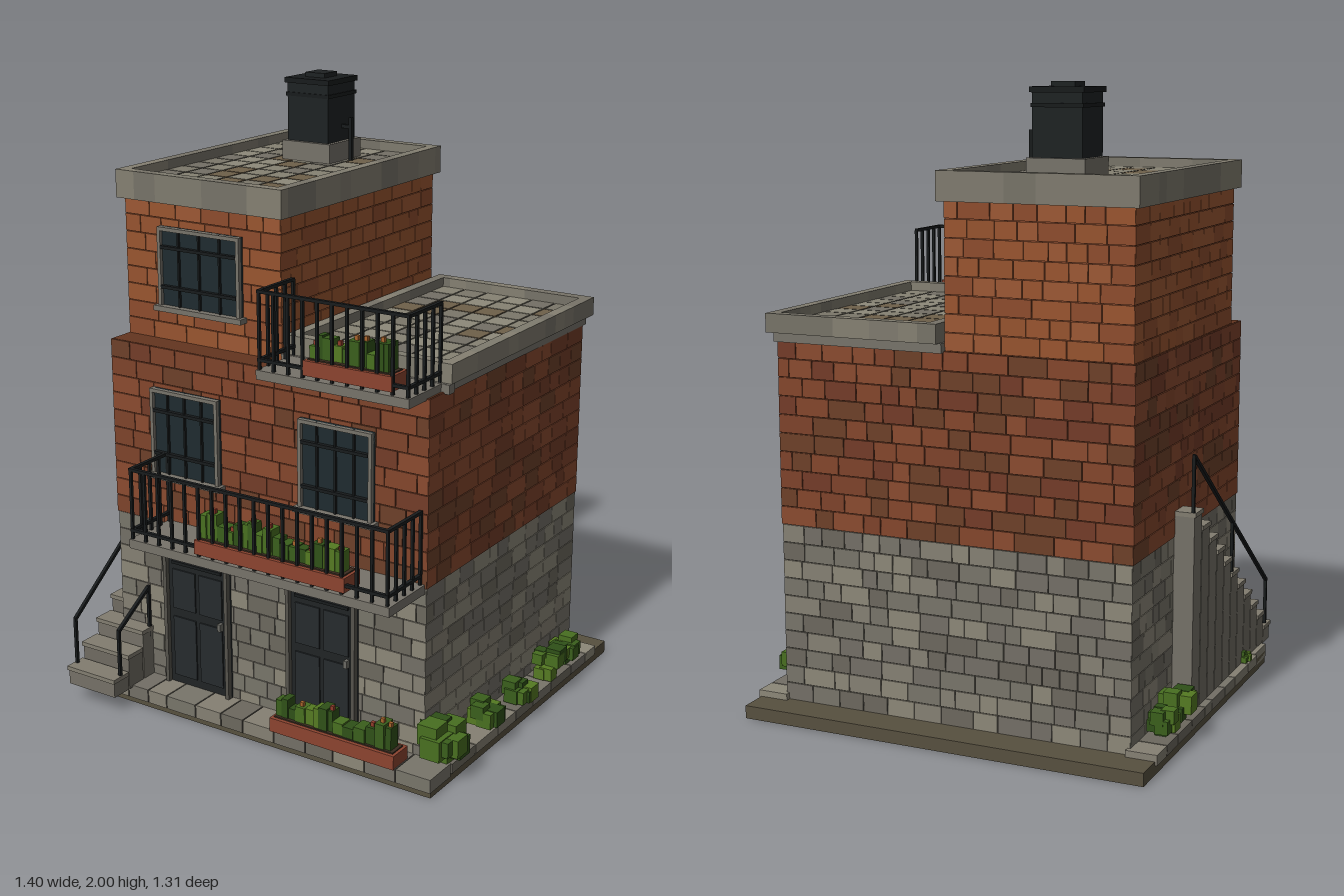
import * as THREE from 'three';
import { mergeGeometries } from 'three/addons/utils/BufferGeometryUtils.js';

const STONE = [0x78756a, 0x858073, 0x6c685e, 0x8c8778, 0x736f66];
const BRICK = [0x7e432b, 0x8a4b30, 0x733c28, 0x84462c, 0x6d4029];
const LIGHT_BRICK = [0x96532f, 0x9c5834, 0x8d4c2d, 0x995530];
const TILES = [0x868273, 0x7b776a, 0x8e8a7a, 0x747066, 0x868273, 0x6f604a];
const LEAVES = [0x3a5f1c, 0x2f5018, 0x486f20, 0x557a22];
const IRON = 0x181b1c, SLAB = 0x77736a, TERRACOTTA = 0x8c4430;

let seed = 7;
const rand = () => (seed = (seed * 16807) % 2147483647) / 2147483647;

const materials = new Map();
function mat(color) {
  if (!materials.has(color)) materials.set(color, new THREE.MeshStandardMaterial({ color }));
  return materials.get(color);
}

// Box given by its limits on each axis
function boxGeo([x0, x1, y0, y1, z0, z1]) {
  return new THREE.BoxGeometry(x1 - x0, y1 - y0, z1 - z0)
    .translate((x0 + x1) / 2, (y0 + y1) / 2, (z0 + z1) / 2);
}

function addBox(parent, name, color, ...limits) {
  const mesh = new THREE.Mesh(boxGeo(limits), mat(color));
  mesh.name = name;
  parent.add(mesh);
}

function group(parent, name) {
  const g = new THREE.Group();
  g.name = name;
  parent.add(g);
  return g;
}

// Many boxes, shared out over a palette and merged per shade
function mosaic(parent, name, palette, boxes) {
  const bins = palette.map(() => []);
  for (const b of boxes) bins[Math.floor(rand() * palette.length)].push(boxGeo(b));
  bins.forEach((bin, i) => {
    if (!bin.length) return;
    const mesh = new THREE.Mesh(mergeGeometries(bin), mat(palette[i]));
    mesh.name = name;
    parent.add(mesh);
  });
}

// Uneven pieces along a line, as [start, end] pairs
function pieces(a, b, len) {
  const out = [];
  for (let u = a; u < b - 1e-6;) {
    let e = u + len * (0.6 + 0.8 * rand());
    if (b - e < len * 0.4) e = b;
    out.push([u, e]);
    u = e;
  }
  return out;
}

// One storey: mortar core faced with courses on all four sides
function storey(parent, name, palette, mortar, [x0, x1, y0, y1, z0, z1], rows, len) {
  const g = group(parent, name), t = 0.004, k = 0.0012, h = (y1 - y0) / rows, boxes = [];
  addBox(g, 'mortarCore', mortar, x0 + t, x1 - t, y0, y1, z0 + t, z1 - t);
  for (let r = 0; r < rows; r++) {
    const a = y0 + r * h + k, b = y0 + (r + 1) * h - k;
    for (const z of [z0, z1 - t])
      for (const [u, v] of pieces(x0, x1, len)) boxes.push([u + k, v - k, a, b, z, z + t]);
    for (const x of [x0, x1 - t])
      for (const [u, v] of pieces(z0, z1, len)) boxes.push([x, x + t, a, b, u + k, v - k]);
  }
  mosaic(g, 'blocks', palette, boxes);
}

// Flat tiled roof inside a block parapet
function roof(parent, name, [x0, x1, y0, y1, z0, z1], floor, cols, rows) {
  const g = group(parent, name), w = 0.036, k = 0.003, boxes = [], tiles = [];
  addBox(g, 'roofBed', 0x4f4b43, x0 + w, x1 - w, y0, floor - 0.006, z0 + w, z1 - w);
  for (const z of [z0, z1 - w])
    for (const [u, v] of pieces(x0, x1, 0.1)) boxes.push([u, v, y0, y1, z, z + w]);
  for (const x of [x0, x1 - w])
    for (const [u, v] of pieces(z0 + w, z1 - w, 0.1)) boxes.push([x, x + w, y0, y1, u, v]);
  mosaic(g, 'parapet', [0x7f7b6e, 0x777368, 0x858072], boxes);
  const dx = (x1 - x0 - 2 * w) / cols, dz = (z1 - z0 - 2 * w) / rows;
  for (let i = 0; i < cols; i++) for (let j = 0; j < rows; j++) {
    const x = x0 + w + i * dx, z = z0 + w + j * dz;
    tiles.push([x + k, x + dx - k, floor - 0.012, floor, z + k, z + dz - k]);
  }
  mosaic(g, 'roofTiles', TILES, tiles);
}

function windowUnit(parent, x0, x1, y0, y1, z) {
  const g = group(parent, 'window'), f = 0.012;
  addBox(g, 'pane', 0x1f2b2f, x0, x1, y0, y1, z - 0.01, z + 0.01);
  for (const x of [x0, x1 - f]) addBox(g, 'frameSide', SLAB, x, x + f, y0, y1, z, z + 0.022);
  addBox(g, 'frameTop', SLAB, x0, x1, y1 - f, y1, z, z + 0.022);
  addBox(g, 'sill', SLAB, x0 - 0.012, x1 + 0.012, y0 - 0.014, y0 + 0.003, z, z + 0.034);
  for (let i = 1; i < 4; i++) {
    const x = x0 + (x1 - x0) * i / 4, y = y0 + (y1 - y0) * i / 4;
    addBox(g, 'upright', IRON, x - 0.003, x + 0.003, y0, y1, z, z + 0.018);
    if (i !== 2) addBox(g, 'crossbar', IRON, x0 + f, x1 - f, y - 0.005, y + 0.005, z, z + 0.024);
  }
}

function door(parent, x0, x1, y0, y1, z) {
  const g = group(parent, 'door'), f = 0.013, m = (x0 + x1) / 2;
  addBox(g, 'leaf', 0x202425, x0, x1, y0, y1, z - 0.01, z + 0.008);
  for (const x of [x0, x1 - f]) addBox(g, 'doorFrameSide', 0x55534c, x, x + f, y0, y1, z, z + 0.024);
  addBox(g, 'doorFrameTop', 0x55534c, x0, x1, y1 - f, y1, z, z + 0.024);
  for (const [a, b] of [[y0 + 0.03, y0 + 0.24], [y0 + 0.27, y1 - 0.11]])
    for (const [u, v] of [[x0 + 0.03, m - 0.008], [m + 0.008, x1 - 0.03]])
      addBox(g, 'panel', 0x262b2d, u, v, a, b, z, z + 0.013);
  for (let i = 0; i < 4; i++)
    addBox(g, 'louvre', IRON, x0 + 0.03, x1 - 0.03, y1 - 0.09 + i * 0.018, y1 - 0.08 + i * 0.018, z, z + 0.016);
  addBox(g, 'handle', 0x6b6a64, x1 - 0.04, x1 - 0.028, y0 + 0.235, y0 + 0.26, z, z + 0.025);
}

// Railing round three sides of a balcony
function railing(parent, x0, x1, y0, y1, z0, z1, n, side) {
  const g = group(parent, 'railing'), r = 0.0045;
  const bar = (x, z) => addBox(g, 'baluster', IRON, x - r, x + r, y0, y1, z - r, z + r);
  for (let i = 0; i <= n; i++) bar(x0 + (x1 - x0) * i / n, z1);
  for (const x of [x0, x1])
    for (let i = 0; i < side; i++) bar(x, z0 + (z1 - z0) * i / side);
  for (const y of [y0 + 0.03, y1]) {
    addBox(g, 'frontRail', IRON, x0 - r, x1 + r, y - 0.005, y + 0.005, z1 - 0.006, z1 + 0.006);
    for (const x of [x0, x1]) addBox(g, 'sideRail', IRON, x - 0.006, x + 0.006, y - 0.005, y + 0.005, z0, z1);
  }
}

// Clay trough with a row of blocky plants
function planter(parent, x0, x1, y, z0, z1) {
  const g = group(parent, 'planter'), leaves = [], flowers = [], zc = (z0 + z1) / 2;
  addBox(g, 'trough', TERRACOTTA, x0, x1, y, y + 0.046, z0, z1);
  addBox(g, 'soil', 0x3a2c20, x0 + 0.01, x1 - 0.01, y + 0.04, y + 0.05, z0 + 0.012, z1 - 0.012);
  for (const [u, v] of pieces(x0 + 0.01, x1 - 0.02, 0.03)) {
    const top = y + 0.085 + 0.05 * rand(), d = 0.018 + 0.01 * rand(), c = (u + v) / 2;
    leaves.push([u, v - 0.002, y + 0.045, top, zc - d, zc + d]);
    if (rand() > 0.5) flowers.push([c - 0.006, c + 0.006, top, top + 0.014, zc, zc + 0.012]);
  }
  mosaic(g, 'plants', LEAVES, leaves);
  mosaic(g, 'flowers', [0xa8642c, 0x8f3b2a], flowers);
}

function bush(parent, x, z, s) {
  const boxes = [];
  for (let i = 0; i < 8; i++) {
    const a = i * 2.4, q = s * (0.18 + 0.1 * rand());
    const cx = x + Math.cos(a) * s * 0.27, cz = z + Math.sin(a) * s * 0.32, cy = 0.065 + q + rand() * s * 0.55;
    boxes.push([cx - q, cx + q, cy - q, cy + q, cz - q, cz + q]);
  }
  boxes.push([x - s * 0.2, x + s * 0.2, 0.06, 0.065 + s * 0.7, z - s * 0.2, z + s * 0.2]);
  mosaic(group(parent, 'bush'), 'foliage', LEAVES, boxes);
}

// Sloping handrail with posts
function handrail(parent, x, yA, zA, yB, zB, posts) {
  const g = group(parent, 'stairHandrail'), len = Math.hypot(yB - yA, zB - zA);
  const rail = new THREE.Mesh(new THREE.BoxGeometry(0.011, 0.011, len), mat(IRON));
  rail.name = 'slopingRail';
  rail.position.set(x, (yA + yB) / 2, (zA + zB) / 2);
  rail.rotation.x = Math.atan2(yB - yA, zA - zB);
  g.add(rail);
  for (let i = 0; i < posts; i++) {
    const t = i / (posts - 1), y = yA + (yB - yA) * t, z = zA + (zB - zA) * t;
    addBox(g, 'post', IRON, x - 0.005, x + 0.005, y - 0.18, y + 0.004, z - 0.005, z + 0.005);
  }
}

export function createModel() {
  seed = 7;
  const model = new THREE.Group();
  model.name = 'townHouse';

  // Ground plate and paving
  addBox(model, 'groundPlate', 0x57503f, -0.683, 0.665, 0, 0.042, -0.657, 0.545);
  const paving = pieces(-0.685, 0.67, 0.1).map(([u, v]) => [u + 0.002, v - 0.002, 0.02, 0.065, 0.43, 0.553]);
  for (const [a, b] of [[-0.69, -0.59], [0.57, 0.672]])
    for (const [u, v] of pieces(-0.565, 0.43, 0.11)) paving.push([a, b, 0.03, 0.063, u + 0.002, v - 0.002]);
  mosaic(model, 'paving', STONE, paving);

  // Storeys and roofs
  storey(model, 'groundFloor', STONE, 0x5d594f, [-0.6, 0.58, 0.04, 0.62, -0.545, 0.44], 10, 0.085);
  storey(model, 'middleFloor', BRICK, 0x64351f, [-0.603, 0.583, 0.62, 1.21, -0.547, 0.443], 10, 0.095);
  storey(model, 'topFloor', LIGHT_BRICK, 0x7c432a, [-0.597, 0.005, 1.21, 1.66, -0.542, 0.355], 8, 0.095);
  roof(model, 'upperRoof', [-0.615, 0.022, 1.655, 1.745, -0.562, 0.375], 1.715, 7, 10);
  addBox(model, 'lowerRoofSlab', SLAB, 0.006, 0.585, 1.205, 1.235, -0.565, 0.36);
  roof(model, 'lowerRoof', [0.014, 0.602, 1.235, 1.295, -0.582, 0.35], 1.265, 6, 10);

  // Balconies
  addBox(model, 'lowerBalconySlab', SLAB, -0.387, 0.575, 0.604, 0.634, 0.43, 0.642);
  railing(model, -0.38, 0.563, 0.634, 0.865, 0.45, 0.632, 18, 4);
  planter(model, -0.13, 0.42, 0.642, 0.555, 0.642);
  addBox(model, 'upperBalconySlab', SLAB, 0.04, 0.6, 1.205, 1.234, 0.33, 0.36);
  addBox(model, 'upperBalconySlab', SLAB, 0.04, 0.572, 1.205, 1.234, 0.33, 0.54);
  railing(model, 0.046, 0.562, 1.234, 1.473, 0.35, 0.528, 10, 4);
  planter(model, 0.207, 0.512, 1.244, 0.447, 0.537);
  planter(model, 0.085, 0.542, 0.062, 0.475, 0.558);

  // Doors and windows
  for (const x of [-0.402, 0.083]) door(model, x, x + 0.258, 0.063, 0.58, 0.44);
  for (const x of [-0.433, 0.135]) windowUnit(model, x, x + 0.265, 0.795, 1.078, 0.443);
  windowUnit(model, -0.455, -0.138, 1.325, 1.58, 0.355);

  // Side stair: three wide lower steps, then a narrow flight along the wall
  const stair = group(model, 'sideStair'), rise = 0.058, run = 0.0764;
  for (let i = 0; i < 11; i++) {
    const z = 0.65 - i * run, top = 0.064 + (i + 1) * rise, right = i < 3 ? -0.47 : -0.598;
    addBox(stair, 'stepBody', i % 2 ? 0x6f6b61 : 0x757167, -0.666, right - 0.003, 0.058, top - 0.014, z - run, z - 0.005);
    addBox(stair, 'tread', 0x827d70, -0.67, right, top - 0.014, top, z - run, z);
  }
  handrail(stair, -0.66, 0.28, 0.61, 0.88, -0.185, 3);
  handrail(stair, -0.478, 0.28, 0.607, 0.38, 0.45, 2);

  // Rooftop water tank
  const tank = group(model, 'waterTank'), tx = -0.287, tz = -0.3;
  const layer = (name, color, w, y0, y1) => addBox(tank, name, color, tx - w, tx + w, y0, y1, tz - w, tz + w);
  layer('plinth', SLAB, 0.094, 1.705, 1.778);
  layer('body', 0x1e2223, 0.08, 1.778, 1.97);
  layer('lowerBand', IRON, 0.084, 1.925, 1.937);
  layer('lid', IRON, 0.087, 1.968, 1.985);
  layer('hatch', 0x1e2223, 0.038, 1.985, 2);
  addBox(tank, 'outletPipe', IRON, -0.21, -0.166, 1.82, 1.832, tz - 0.011, tz + 0.001);
  addBox(tank, 'downPipe', IRON, -0.178, -0.166, 1.715, 1.857, tz - 0.011, tz + 0.001);

  // Bushes along both sides
  for (const [x, z, s] of [[0.635, 0.415, 0.13], [0.638, 0.155, 0.095], [0.64, -0.065, 0.095],
    [0.638, -0.265, 0.1], [0.635, -0.39, 0.09], [-0.645, -0.395, 0.09], [-0.645, -0.265, 0.11], [-0.675, 0.345, 0.04]])
    bush(model, x, z, s);
  return model;
}
